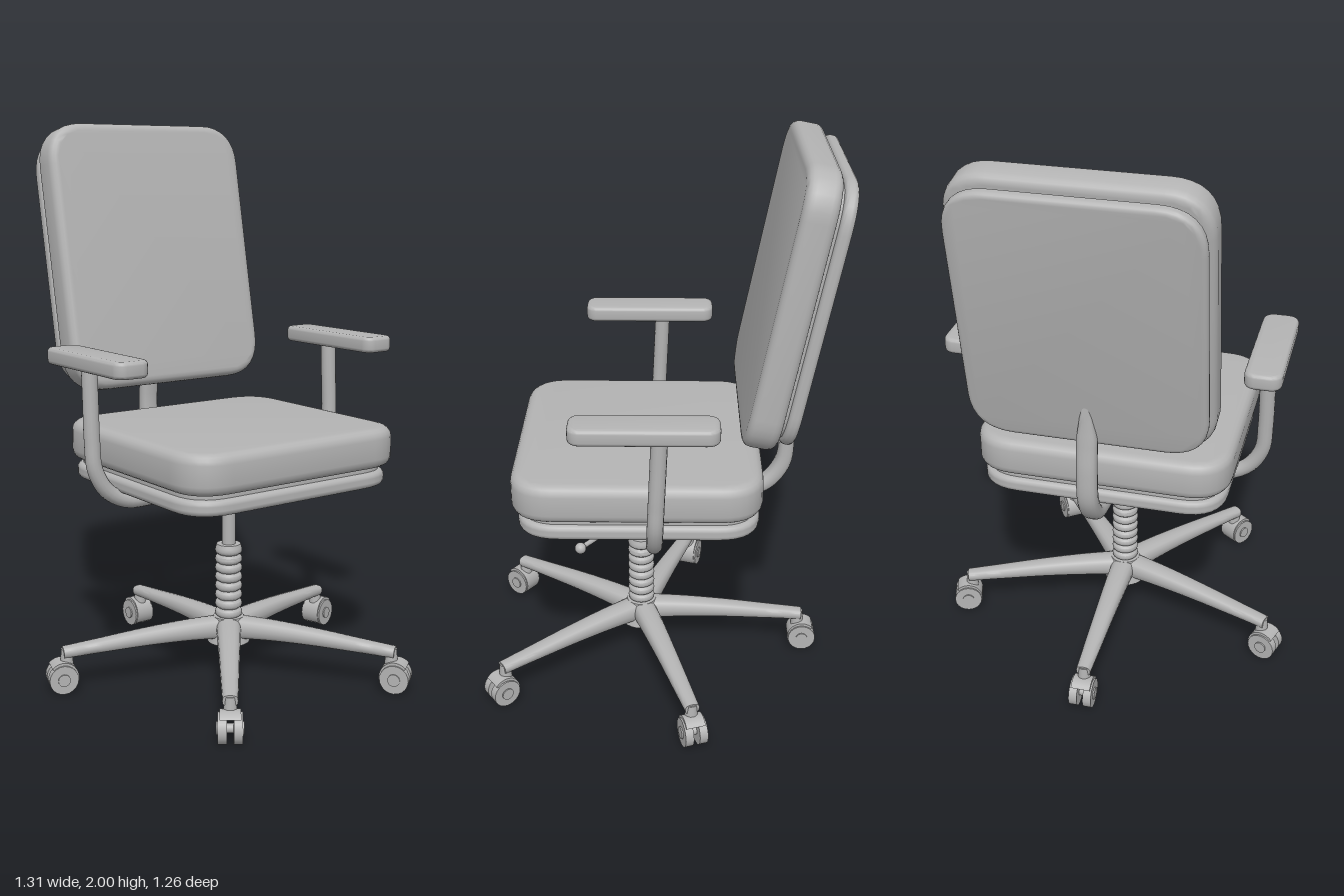
import * as THREE from 'three';
import { toCreasedNormals } from 'three/addons/utils/BufferGeometryUtils.js';

const grey = new THREE.MeshStandardMaterial({ color: 0xb4b4b4 });
grey.name = 'plain grey';

function add(parent, name, geometry, x = 0, y = 0, z = 0) {
  const mesh = new THREE.Mesh(geometry, grey);
  mesh.name = name;
  mesh.position.set(x, y, z);
  parent.add(mesh);
  return mesh;
}

// Rounded slab centred on the origin, w by h in XY and d thick in Z
function slab(w, h, d, radius, bevel) {
  const x = w / 2 - bevel, y = h / 2 - bevel, r = radius - bevel;
  const s = new THREE.Shape();
  s.moveTo(-x + r, -y);
  s.lineTo(x - r, -y);
  s.quadraticCurveTo(x, -y, x, -y + r);
  s.lineTo(x, y - r);
  s.quadraticCurveTo(x, y, x - r, y);
  s.lineTo(-x + r, y);
  s.quadraticCurveTo(-x, y, -x, y - r);
  s.lineTo(-x, -y + r);
  s.quadraticCurveTo(-x, -y, -x + r, -y);
  const g = new THREE.ExtrudeGeometry(s, {
    depth: d - 2 * bevel, bevelEnabled: true, bevelSize: bevel,
    bevelThickness: bevel, bevelSegments: 4, curveSegments: 8,
  });
  g.translate(0, 0, -d / 2 + bevel);
  return toCreasedNormals(g, 0.7);
}

const flatSlab = (w, l, t, radius, bevel) => slab(w, l, t, radius, bevel).rotateX(-Math.PI / 2);

// Tapering bar swept along a path in the YZ plane; stations are [y, z, halfWidth, halfThickness]
function bar(stations, steps = 24, sides = 16) {
  const path = new THREE.CatmullRomCurve3(stations.map(([y, z]) => new THREE.Vector3(0, y, z)));
  const pos = [], idx = [];
  const across = new THREE.Vector3(1, 0, 0);
  const round = (v) => Math.sign(v) * Math.pow(Math.abs(v), 0.75);
  for (let i = 0; i <= steps; i++) {
    const t = i / steps, k = t * (stations.length - 1);
    const a = Math.min(Math.floor(k), stations.length - 2), f = k - a;
    const w = THREE.MathUtils.lerp(stations[a][2], stations[a + 1][2], f);
    const h = THREE.MathUtils.lerp(stations[a][3], stations[a + 1][3], f);
    const p = path.getPoint(t);
    const n = path.getTangent(t).cross(across);
    for (let j = 0; j < sides; j++) {
      const q = (j / sides) * Math.PI * 2;
      const u = round(Math.cos(q)) * w, v = round(Math.sin(q)) * h;
      pos.push(u, p.y + n.y * v, p.z + n.z * v);
    }
  }
  const at = (i, j) => i * sides + (j % sides);
  for (let i = 0; i < steps; i++) {
    for (let j = 0; j < sides; j++) {
      idx.push(at(i, j), at(i, j + 1), at(i + 1, j + 1), at(i, j), at(i + 1, j + 1), at(i + 1, j));
    }
  }
  for (let j = 1; j < sides - 1; j++) {
    idx.push(at(0, 0), at(0, j + 1), at(0, j), at(steps, 0), at(steps, j), at(steps, j + 1));
  }
  const g = new THREE.BufferGeometry();
  g.setAttribute('position', new THREE.Float32BufferAttribute(pos, 3));
  g.setIndex(idx);
  return toCreasedNormals(g, 0.8);
}

const tube = (points, radius) => new THREE.TubeGeometry(
  new THREE.CatmullRomCurve3(points.map((p) => new THREE.Vector3(...p))), 40, radius, 14);

const axle = (radius, width) => new THREE.CylinderGeometry(radius, radius, width, 20).rotateZ(Math.PI / 2);

// Twin-wheel caster, rolling along local z
function makeCaster() {
  const caster = new THREE.Group();
  caster.name = 'caster';
  for (const side of [-1, 1]) {
    add(caster, 'casterWheel', axle(0.052, 0.03), side * 0.026, 0.052, 0);
    add(caster, 'wheelCap', axle(0.022, 0.006), side * 0.043, 0.052, 0);
  }
  add(caster, 'casterAxle', axle(0.016, 0.06), 0, 0.052, 0);
  // Hood wrapped over the inner half of the wheels
  const hood = new THREE.CylinderGeometry(0.058, 0.058, 0.07, 14, 1, false, 0, Math.PI).rotateZ(Math.PI / 2);
  hood.rotateX(-0.75);
  const hoodMesh = add(caster, 'casterHood', hood, 0, 0.056, 0);
  hoodMesh.scale.set(1, 1, 0.95);
  add(caster, 'casterStem', new THREE.CylinderGeometry(0.02, 0.024, 0.06, 14), 0, 0.125, -0.018);
  return caster;
}

export function createModel() {
  const chair = new THREE.Group();
  chair.name = 'officeChair';
  const axisZ = 0.07;

  // Seat cushion, seam and pan
  add(chair, 'seatCushion', flatSlab(0.91, 0.87, 0.14, 0.15, 0.035), 0, 0.87, 0.075);
  add(chair, 'seatSeam', flatSlab(0.84, 0.8, 0.05, 0.13, 0.005), 0, 0.79, 0.07);
  add(chair, 'seatPan', flatSlab(0.88, 0.84, 0.055, 0.15, 0.02), 0, 0.757, 0.07);
  add(chair, 'tiltMechanism', new THREE.BoxGeometry(0.36, 0.065, 0.36), 0, 0.702, 0.05);

  // Reclined backrest
  const back = new THREE.Group();
  back.name = 'backrest';
  back.position.set(0, 1.51, -0.4225);
  back.rotation.x = -0.19;
  add(back, 'backCushion', slab(0.84, 0.98, 0.115, 0.15, 0.03));
  add(back, 'backSeam', slab(0.77, 0.89, 0.06, 0.13, 0.005), 0, 0, -0.055);
  add(back, 'backShell', slab(0.81, 0.93, 0.045, 0.15, 0.018), 0, 0, -0.09);
  chair.add(back);

  // Curved bar carrying the backrest
  add(chair, 'backSupport', bar([
    [0.7, -0.08, 0.036, 0.028], [0.695, -0.26, 0.036, 0.028], [0.725, -0.385, 0.036, 0.029],
    [0.81, -0.45, 0.036, 0.03], [0.93, -0.462, 0.036, 0.028],
    [1.06, -0.455, 0.036, 0.026], [1.21, -0.462, 0.012, 0.012],
  ], 36));

  // Armrests
  for (const side of [-1, 1]) {
    const arm = new THREE.Group();
    arm.name = side > 0 ? 'leftArmrest' : 'rightArmrest';
    add(arm, 'armTube', tube([
      [0.12, 0.698, 0.015], [0.28, 0.695, 0.015], [0.4, 0.7, 0.015], [0.475, 0.74, 0.013],
      [0.522, 0.82, 0.01], [0.53, 0.92, 0.006], [0.53, 1.06, 0], [0.53, 1.185, -0.005],
    ].map(([x, y, z]) => [x * side, y, z]), 0.028));
    add(arm, 'armPad', flatSlab(0.13, 0.49, 0.058, 0.045, 0.014), side * 0.532, 1.199, 0.045);
    chair.add(arm);
  }

  // Height lever on the left
  add(chair, 'lever', tube([
    [0.15, 0.695, 0.13], [0.24, 0.695, 0.15], [0.33, 0.685, 0.21], [0.4, 0.682, 0.265],
  ], 0.009));
  add(chair, 'leverKnob', new THREE.SphereGeometry(0.02, 14, 10), 0.405, 0.682, 0.268);

  // Column with ribbed sleeve
  add(chair, 'gasColumn', new THREE.CylinderGeometry(0.025, 0.025, 0.24, 20), 0, 0.57, axisZ);
  const ribs = 8, profile = [new THREE.Vector2(0.038, 0.2)];
  for (let i = 0; i < ribs; i++) {
    const y = 0.21 + i * 0.034;
    for (const [r, dy] of [[0.038, 0], [0.048, 0.008], [0.05, 0.017], [0.048, 0.026]]) {
      profile.push(new THREE.Vector2(r, y + dy));
    }
  }
  profile.push(new THREE.Vector2(0.044, 0.487), new THREE.Vector2(0, 0.487));
  add(chair, 'ribbedSleeve', toCreasedNormals(new THREE.LatheGeometry(profile, 24), 0.7), 0, 0, axisZ);

  // Five-legged base
  const base = new THREE.Group();
  base.name = 'starBase';
  base.position.z = axisZ;
  add(base, 'hub', new THREE.CylinderGeometry(0.056, 0.078, 0.095, 24), 0, 0.165, 0);
  const legShape = bar([
    [0.172, 0.02, 0.046, 0.042], [0.172, 0.16, 0.042, 0.036], [0.165, 0.32, 0.036, 0.03],
    [0.153, 0.48, 0.031, 0.024], [0.142, 0.62, 0.026, 0.02],
  ]);
  for (let i = 0; i < 5; i++) {
    const leg = new THREE.Group();
    leg.name = 'baseLeg' + (i + 1);
    leg.rotation.y = Math.PI + (i * Math.PI * 2) / 5;
    add(leg, 'legBeam', legShape);
    const caster = makeCaster();
    caster.position.z = 0.625;
    leg.add(caster);
    base.add(leg);
  }
  chair.add(base);
  return chair;
}
